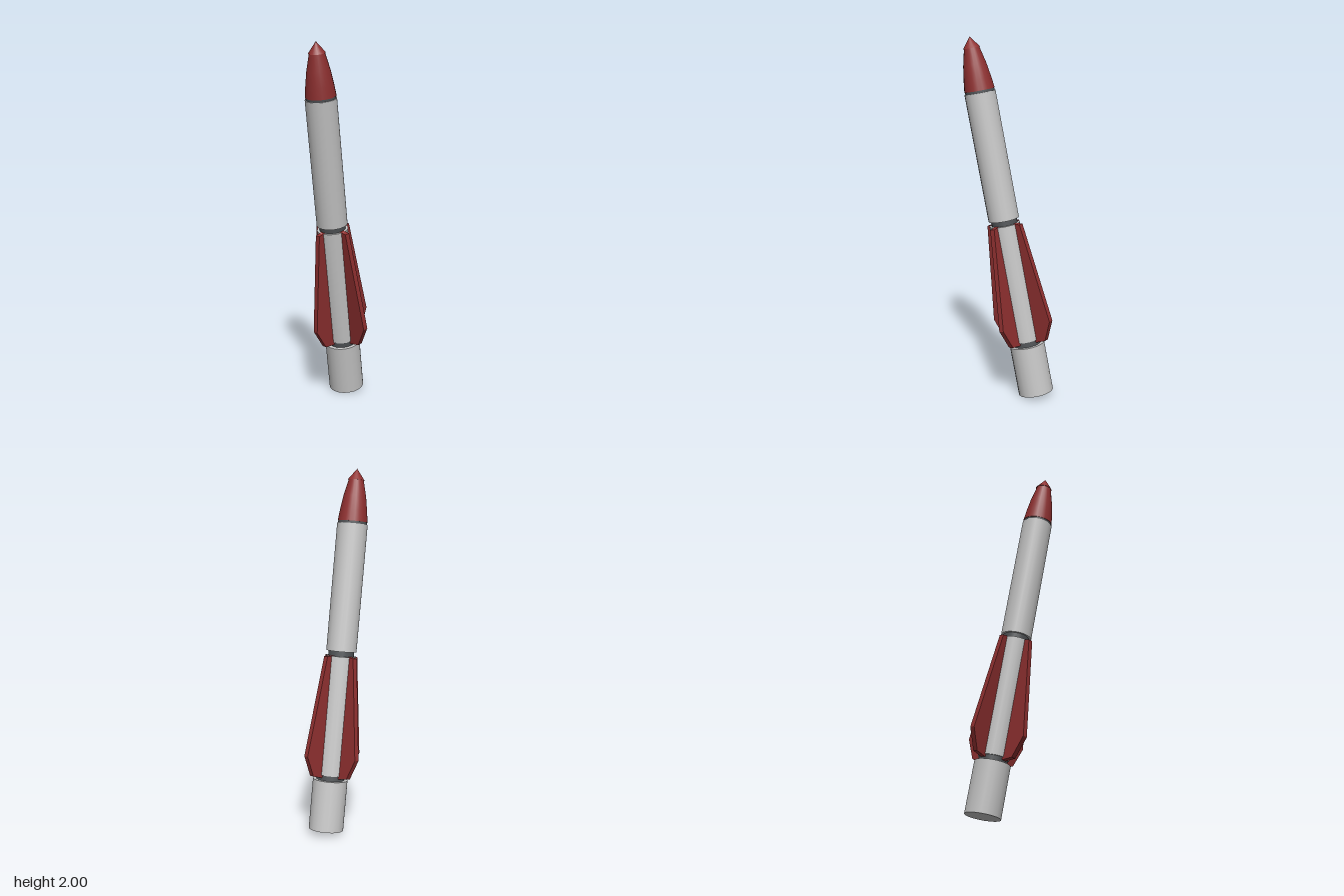
import * as THREE from 'three';

export function createModel() {
  const white = new THREE.MeshStandardMaterial({ name: 'pale grey paint', color: 0xc8c8c8 });
  const red = new THREE.MeshStandardMaterial({ name: 'dark red paint', color: 0x8f3030 });
  const dark = new THREE.MeshStandardMaterial({ name: 'dark grey joint', color: 0x505356 });

  const model = new THREE.Group();
  model.name = 'rocket';
  const body = new THREE.Group();
  body.name = 'tiltedRocket';
  model.add(body);

  const SIDES = 20;
  const add = (name, geometry, material) => {
    const mesh = new THREE.Mesh(geometry, material);
    mesh.name = name;
    body.add(mesh);
    return mesh;
  };
  // Cylinder or cone between two heights along the rocket axis
  const section = (name, y0, y1, r0, r1, material) => {
    const mesh = add(name, new THREE.CylinderGeometry(r1, r0, y1 - y0, SIDES), material);
    mesh.position.y = (y0 + y1) / 2;
  };

  // Body sections with recessed joints between them
  section('engineSection', 0, 0.285, 0.098, 0.098, white);
  section('lowerJoint', 0.28, 0.325, 0.078, 0.078, dark);
  section('lowerBody', 0.315, 0.982, 0.085, 0.085, white);
  section('middleJoint', 0.975, 1.02, 0.072, 0.072, dark);
  section('upperBody', 1.01, 1.715, 0.085, 0.085, white);
  section('noseJoint', 1.71, 1.735, 0.08, 0.08, dark);

  // Slightly bulging nose with a small pointed cap
  const noseProfile = [[0, 1.728], [0.083, 1.728], [0.083, 1.728], [0.075, 1.79],
    [0.063, 1.865], [0.041, 1.958]].map(([r, y]) => new THREE.Vector2(r, y));
  add('noseCone', new THREE.LatheGeometry(noseProfile, SIDES), red);
  section('noseTip', 1.955, 2.016, 0.046, 0, red);

  // Four thick swept fins
  const finShape = new THREE.Shape([[0.06, 0.3], [0.08, 0.3], [0.142, 0.312], [0.197, 0.425],
    [0.113, 0.978], [0.06, 0.985]].map(([x, y]) => new THREE.Vector2(x, y)));
  const thickness = 0.028;
  const finGeometry = new THREE.ExtrudeGeometry(finShape, { depth: thickness, bevelEnabled: false });
  finGeometry.translate(0, 0, -thickness / 2);
  ['leftFin', 'backFin', 'rightFin', 'frontFin'].forEach((name, i) => {
    add(name, finGeometry, red).rotation.y = i * Math.PI / 2;
  });

  // Lean the whole rocket along its flight direction
  const axis = new THREE.Vector3(-0.355, 1.98, 0.13).normalize();
  body.quaternion.setFromUnitVectors(new THREE.Vector3(0, 1, 0), axis);
  body.position.set(0.135, 0.019, -0.025);
  return model;
}
